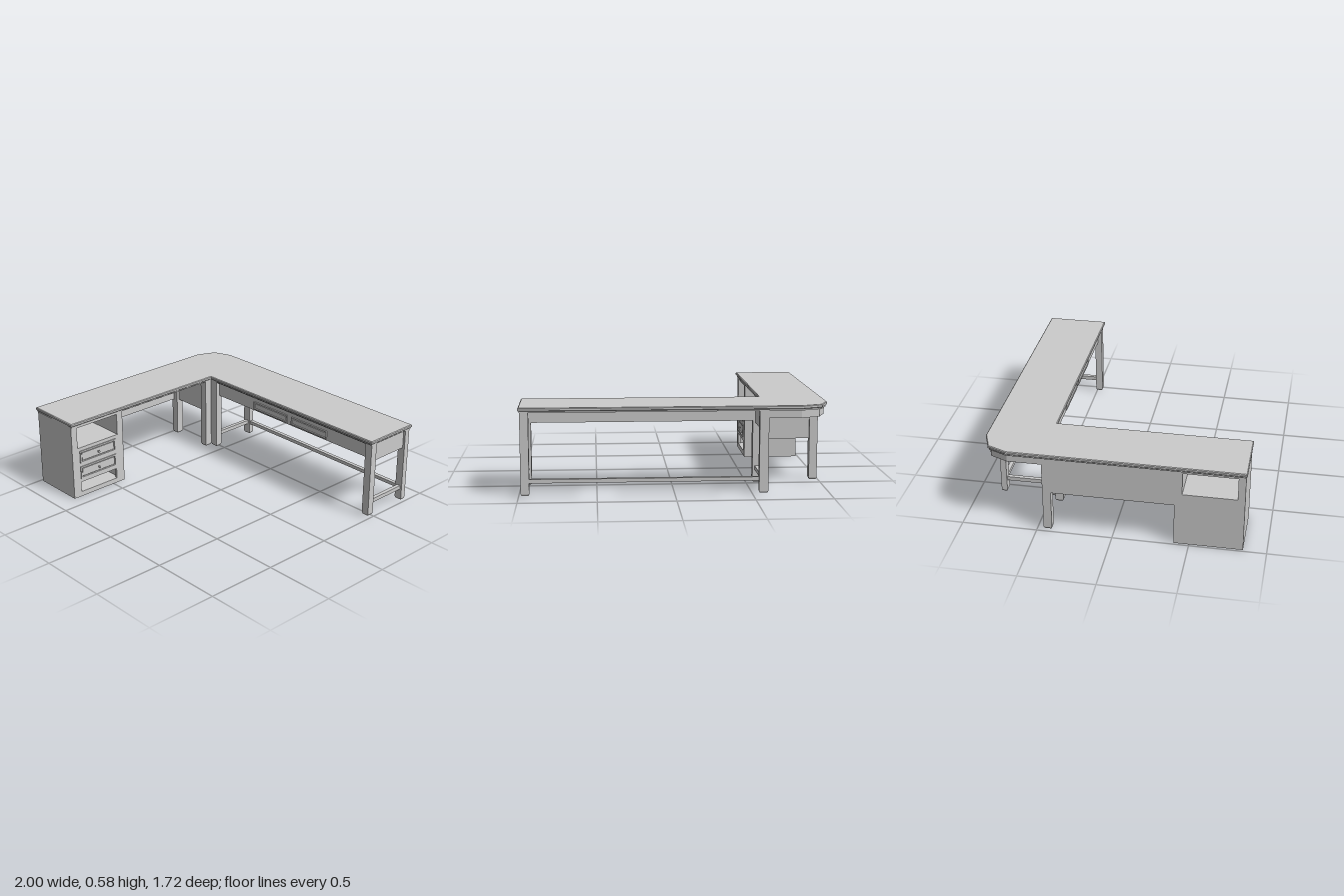
import * as THREE from 'three';

const mat = new THREE.MeshStandardMaterial({ color: 0xcccccc, flatShading: true });

export function createModel() {
  const group = new THREE.Group();

  const add = (name, geo) => {
    const m = new THREE.Mesh(geo, mat);
    m.name = name;
    group.add(m);
    return m;
  };
  // box given by its limits on each axis
  const box = (name, x0, x1, y0, y1, z0, z1) => {
    const m = add(name, new THREE.BoxGeometry(x1 - x0, y1 - y0, z1 - z0));
    m.position.set((x0 + x1) / 2, (y0 + y1) / 2, (z0 + z1) / 2);
    return m;
  };
  // horizontal slab from [x, z] outline points
  const slab = (name, pts, y0, y1, bevel = 0) => {
    const shape = new THREE.Shape(pts.map(([x, z]) => new THREE.Vector2(x, -z)));
    const geo = new THREE.ExtrudeGeometry(shape, {
      depth: y1 - y0 - 2 * bevel, bevelEnabled: bevel > 0, bevelThickness: bevel,
      bevelSize: bevel, bevelOffset: -bevel, bevelSegments: 1,
    });
    geo.rotateX(-Math.PI / 2).translate(0, y0 + bevel, 0);
    return add(name, geo);
  };
  // rectangular drawer front facing +z: sloped frame, recessed field
  const drawerFront = (name, w, h, border, depth) => {
    const g = new THREE.Group();
    g.name = name;
    const rect = (P, a, b) => new P().setFromPoints([
      [-a, -b], [a, -b], [a, b], [-a, b]].map(([x, y]) => new THREE.Vector2(x, y)));
    const s = rect(THREE.Shape, w / 2, h / 2);
    s.holes.push(rect(THREE.Path, w / 2 - border, h / 2 - border));
    const frame = new THREE.Mesh(new THREE.ExtrudeGeometry(s, { depth, bevelEnabled: false }), mat);
    frame.name = 'drawerFrame';
    const field = new THREE.Mesh(
      new THREE.BoxGeometry(w - border * 3, h - border * 3, depth * 0.7), mat);
    field.name = 'drawerField';
    field.position.z = depth * 0.35;
    g.add(frame, field);
    group.add(g);
    return g;
  };

  // L-shaped top with clipped outer corner, in two layers
  const outline = (d) => [
    [-1 + d, 0.855 - d], [-0.585 - d, 0.855 - d], [-0.585 - d, -0.44 - d], [0.995 - d, -0.44 - d],
    [0.995 - d, -0.86 + d], [-0.815, -0.86 + d], [-0.945 + d * 0.7, -0.81 + d * 0.7], [-1 + d, -0.68],
  ];
  slab('deskTop', outline(0), 0.555, 0.577, 0.005);
  slab('topUnderlayer', outline(0.008), 0.545, 0.556);
  slab('cornerBlock', [[-0.6, -0.455], [-0.6, -0.84], [-0.81, -0.84], [-0.93, -0.795],
    [-0.98, -0.68], [-0.98, -0.455]], 0.495, 0.546);

  // legs with a tapered foot
  const leg = (x0, x1, z0, z1) => {
    box('leg', x0, x1, 0.022, 0.546, z0, z1);
    const foot = new THREE.CylinderGeometry(Math.SQRT1_2, Math.SQRT1_2 * 0.8, 1, 4)
      .rotateY(Math.PI / 4).scale(x1 - x0, 0.012, z1 - z0);
    add('foot', foot).position.set((x0 + x1) / 2, 0.016, (z0 + z1) / 2);
  };
  for (const [x0, x1] of [[-0.6, -0.54], [0.93, 0.985]]) {
    leg(x0, x1, -0.505, -0.455);
    leg(x0, x1, -0.845, -0.805);
    // end panel and stretcher between each pair of legs
    const c = (x0 + x1) / 2;
    box('endPanel', c - 0.012, c + 0.012, 0.41, 0.546, -0.805, -0.505);
    box('endStretcher', c - 0.014, c + 0.014, 0.09, 0.118, -0.805, -0.505);
  }
  box('backStretcher', -0.54, 0.93, 0.09, 0.115, -0.839, -0.811);
  leg(-0.655, -0.6, -0.455, -0.4);
  leg(-0.985, -0.93, -0.455, -0.4);

  // front apron of the long desk with two shallow drawers
  box('frontApron', -0.54, 0.93, 0.425, 0.53, -0.505, -0.485);
  for (const x of [0.005, 0.385])
    drawerFront('apronDrawer', 0.34, 0.06, 0.009, 0.009).position.set(x, 0.465, -0.486);

  // bevelled rail below the inner edge of each top, facing +z before turning
  const rail = (length) => {
    const s = new THREE.Shape([[0, 0.546], [0, 0.535], [-0.035, 0.52], [-0.035, 0.546]]
      .map(([x, y]) => new THREE.Vector2(x, y)));
    return add('topRail', new THREE.ExtrudeGeometry(s, { depth: length, bevelEnabled: false }));
  };
  const longRail = rail(1.47);
  longRail.rotation.y = -Math.PI / 2;
  longRail.position.set(0.93, 0, -0.46);
  longRail.rotation.y = -Math.PI / 2;
  rail(0.8).position.set(-0.61, 0, -0.4);

  // panels of the side run
  box('modestyPanel', -0.985, -0.965, 0.29, 0.546, -0.4, 0.4);
  box('runEndPanel', -0.93, -0.655, 0.29, 0.546, -0.44, -0.42);

  // drawer cabinet: sides, shelves, back, open cubby running right through
  for (const [z0, z1] of [[0.4, 0.45], [0.8, 0.848]])
    box('cabinetSide', -0.985, -0.6, 0, 0.546, z0, z1);
  box('cubbyCeiling', -0.985, -0.6, 0.53, 0.546, 0.45, 0.8);
  box('cubbyFloor', -0.985, -0.6, 0.35, 0.375, 0.45, 0.8);
  box('cabinetBack', -0.985, -0.965, 0, 0.35, 0.45, 0.8);
  box('cabinetBottom', -0.965, -0.6, 0, 0.035, 0.45, 0.8);
  for (const [y0, y1] of [[0.11, 0.135], [0.23, 0.255]])
    box('shelf', -0.965, -0.6, y0, y1, 0.45, 0.8);
  for (const [z0, z1] of [[0.45, 0.468], [0.785, 0.8]])
    box('frontStile', -0.62, -0.6, 0.035, 0.35, z0, z1);

  // two drawers with knobs
  for (const y of [0.3025, 0.1825]) {
    box('drawerBox', -0.95, -0.607, y - 0.0475, y + 0.0475, 0.468, 0.785);
    const d = drawerFront('cabinetDrawer', 0.315, 0.093, 0.012, 0.014);
    d.rotation.y = Math.PI / 2;
    d.position.set(-0.608, y, 0.627);
    const profile = [[0.004, 0], [0.004, 0.008], [0.009, 0.012], [0.009, 0.016], [0, 0.02]]
      .map(([r, h]) => new THREE.Vector2(r, h));
    const knob = add('knob', new THREE.LatheGeometry(profile, 12));
    knob.rotation.z = -Math.PI / 2;
    knob.position.set(-0.6, y, 0.627);
  }
  return group;
}
